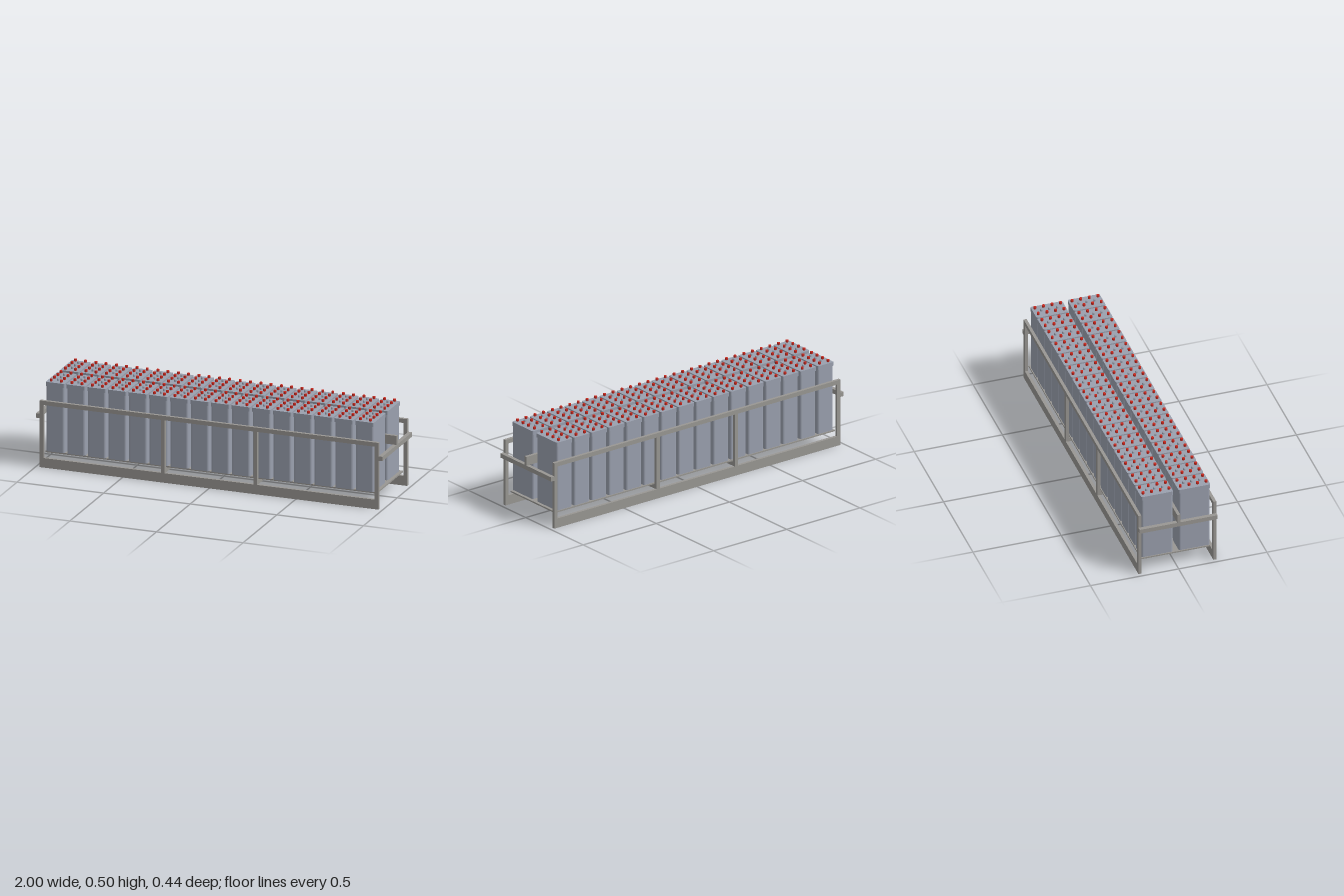
import * as THREE from 'three';

const steel = new THREE.MeshStandardMaterial({ color: 0x999793 });
const casing = new THREE.MeshStandardMaterial({ color: 0x9aa0ae });
const red = new THREE.MeshStandardMaterial({ color: 0xc8281e });

// Box given by its minimum and maximum corners
function bar(parent, name, [x0, y0, z0], [x1, y1, z1]) {
  const mesh = new THREE.Mesh(new THREE.BoxGeometry(x1 - x0, y1 - y0, z1 - z0), steel);
  mesh.position.set((x0 + x1) / 2, (y0 + y1) / 2, (z0 + z1) / 2);
  mesh.name = name;
  parent.add(mesh);
}

// Upright block with rounded vertical edges, standing on y = 0
function roundedBlock(w, d, h, r) {
  const x = w / 2, y = d / 2;
  const s = new THREE.Shape();
  s.moveTo(x, y - r);
  s.absarc(x - r, y - r, r, 0, Math.PI / 2);
  s.absarc(r - x, y - r, r, Math.PI / 2, Math.PI);
  s.absarc(r - x, r - y, r, Math.PI, Math.PI * 1.5);
  s.absarc(x - r, r - y, r, Math.PI * 1.5, Math.PI * 2);
  s.closePath();
  const g = new THREE.ExtrudeGeometry(s, { depth: h, bevelEnabled: false, curveSegments: 5 });
  return g.rotateX(-Math.PI / 2);
}

const bodyGeo = roundedBlock(0.106, 0.178, 0.371, 0.012);
const lidGeo = roundedBlock(0.109, 0.181, 0.023, 0.008);
const neckGeo = new THREE.CylinderGeometry(0.006, 0.006, 0.005, 12);
const capGeo = new THREE.CylinderGeometry(0.008, 0.008, 0.012, 12);
const plugGeo = new THREE.LatheGeometry(
  [[0.007, 0], [0.007, 0.01], [0.005, 0.013], [0, 0.013]].map(p => new THREE.Vector2(...p)), 12);

function makeCell() {
  const cell = new THREE.Group();
  cell.name = 'batteryCell';
  const add = (name, geo, mat, x, y, z) => {
    const m = new THREE.Mesh(geo, mat);
    m.name = name;
    m.position.set(x, y, z);
    cell.add(m);
  };
  add('cellBody', bodyGeo, casing, 0, 0.086, 0);
  add('cellLid', lidGeo, casing, 0, 0.457, 0);
  // Two rows of four terminals
  for (const x of [-0.029, 0.029]) {
    for (let i = 0; i < 4; i++) {
      const z = (i - 1.5) * 0.0487;
      add('terminalNeck', neckGeo, casing, x, 0.4815, z);
      add('terminalCap', capGeo, red, x, 0.489, z);
    }
  }
  // Vent plugs down the middle
  for (const z of [-0.045, 0, 0.045]) add('ventPlug', plugGeo, casing, 0, 0.48, z);
  return cell;
}

export function createModel() {
  const model = new THREE.Group();
  model.name = 'batteryRack';

  // Cells: two rows of sixteen
  const cells = new THREE.Group();
  cells.name = 'cells';
  const cell = makeCell();
  for (const z of [0.106, -0.105]) {
    for (let i = 0; i < 16; i++) {
      const c = cell.clone();
      c.position.set(-0.006 + (i - 7.5) * 0.119, 0, z);
      cells.add(c);
    }
  }
  model.add(cells);

  // Side frames, front and back
  const rack = new THREE.Group();
  rack.name = 'rack';
  for (const z of [0.204, -0.221]) {
    const z1 = z + 0.017;
    bar(rack, 'bottomRail', [-0.978, 0, z], [0.978, 0.054, z1]);
    bar(rack, 'topRail', [-0.978, 0.355, z], [0.978, 0.379, z1]);
    for (const x of [-0.967, -0.267, 0.267, 0.967]) {
      bar(rack, 'post', [x - 0.011, 0.054, z], [x + 0.011, 0.355, z1]);
    }
  }
  // Cross members under the tray
  for (const x of [-0.267, 0.267]) {
    bar(rack, 'crossMember', [x - 0.011, 0.053, -0.204], [x + 0.011, 0.078, 0.204]);
  }
  // Tray, end bars and the rail between the rows
  bar(rack, 'tray', [-0.957, 0.078, -0.199], [0.957, 0.086, 0.189]);
  bar(rack, 'endBar', [0.978, 0.278, -0.221], [1, 0.303, 0.221]);
  bar(rack, 'endBar', [-1, 0.278, -0.221], [-0.978, 0.303, 0.221]);
  bar(rack, 'centerRail', [-1, 0.303, -0.008], [1, 0.354, 0.009]);
  model.add(rack);

  return model;
}
